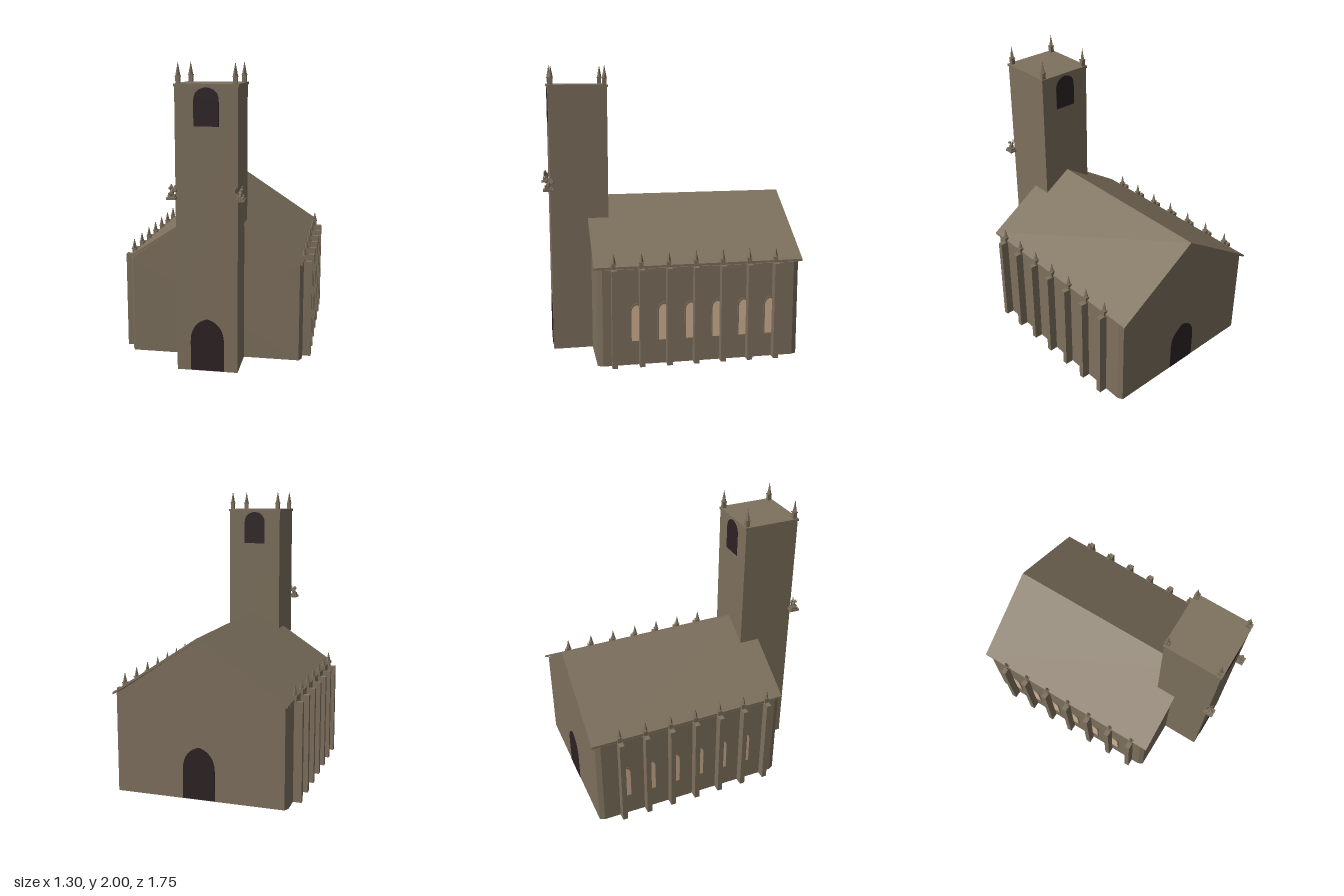
import * as THREE from 'three';

const mat = (name, color) => {
  const m = new THREE.MeshStandardMaterial({ color });
  m.name = name;
  return m;
};

export function createModel() {
  const church = new THREE.Group();
  church.name = 'church';
  const stone = mat('stone', 0x7d705d);
  const dark = mat('darkOpening', 0x2d2224);
  const glass = mat('windowGlow', 0xd2b393);

  const add = (name, geo, material, x = 0, y = 0, z = 0, parent = church) => {
    const m = new THREE.Mesh(geo, material);
    m.name = name;
    m.position.set(x, y, z);
    parent.add(m);
    return m;
  };
  const box = (name, w, h, d, x, y, z, parent) =>
    add(name, new THREE.BoxGeometry(w, h, d), stone, x, y, z, parent);
  const polygon = (pts) => new THREE.Shape(pts.map(([x, y]) => new THREE.Vector2(x, y)));
  const extrude = (shape, depth) =>
    new THREE.ExtrudeGeometry(shape, { depth, bevelEnabled: false, curveSegments: 10 });

  // Arch outline: straight jambs, then a curve up to the apex; pull sets its roundness
  const arch = (half, y0, spring, apex, pull, Type = THREE.Shape) => {
    const s = new Type();
    const k = spring + (apex - spring) * 0.6;
    s.moveTo(-half, y0);
    s.lineTo(half, y0);
    s.lineTo(half, spring);
    s.bezierCurveTo(half, k, half * pull, apex - (apex - spring) * 0.1, 0, apex);
    s.bezierCurveTo(-half * pull, apex - (apex - spring) * 0.1, -half, k, -half, spring);
    return s;
  };

  // Nave walls with chamfered corners, and the gabled core
  const plan = [[0.575, 0.545], [0.593, 0.51], [0.593, -0.815], [0.575, -0.85]];
  const outline = [...plan, ...plan.map(([x, z]) => [-x, z]).reverse()]
    .map(([x, z]) => [x, -z]);
  const walls = extrude(polygon(outline), 0.665);
  walls.rotateX(-Math.PI / 2);
  add('naveWalls', walls, stone);
  const gable = polygon([[-0.575, 0.01], [0.575, 0.01], [0.575, 0.675], [0, 1.06], [-0.575, 0.675]]);
  add('naveGables', extrude(gable, 1.395), stone, 0, 0, -0.85);

  // Pitched roof slab
  const roof = polygon([[0.595, 0.668], [0.595, 0.684], [0, 1.076], [-0.595, 0.684],
    [-0.595, 0.668], [0, 1.056]]);
  add('roof', extrude(roof, 1.44), stone, 0, 0, -0.875);

  // Tower and its cap
  box('tower', 0.4, 1.855, 0.4, 0, 0.9275, 0.62);
  box('towerCap', 0.412, 0.017, 0.412, 0, 1.8585, 0.62);

  // Pinnacle: square base, collar and four-sided spike
  const pinnacle = (x, y, z, h) => {
    const g = new THREE.Group();
    g.name = 'pinnacle';
    g.position.set(x, y, z);
    church.add(g);
    box('pinnacleBase', 0.027, h * 0.34, 0.027, 0, h * 0.17, 0, g);
    box('pinnacleCollar', 0.033, 0.006, 0.033, 0, h * 0.34, 0, g);
    const spike = new THREE.ConeGeometry(0.017, h * 0.66, 4).toNonIndexed();
    spike.computeVertexNormals();
    add('pinnacleSpike', spike, stone, 0, h * 0.67, 0, g);
  };
  for (const x of [-0.18, 0.18])
    for (const z of [0.435, 0.8]) pinnacle(x, 1.867, z, 0.133);

  // Doors and belfry openings
  const door = () => extrude(arch(0.11, 0.003, 0.2, 0.355, 0.55), 0.006);
  const belfry = () => extrude(arch(0.08, 1.605, 1.755, 1.846, 0.75), 0.006);
  add('frontDoor', door(), dark, 0, 0, 0.817);
  add('backDoor', door(), dark, 0, 0, -0.853);
  add('frontBelfryOpening', belfry(), dark, 0, 0, 0.817);
  add('backBelfryOpening', belfry(), dark, 0, 0, 0.417);

  // Buttresses with pinnacles, and the arched windows beside them
  const frame = arch(0.042, 0.165, 0.37, 0.432, 0.6);
  frame.holes.push(arch(0.034, 0.168, 0.365, 0.418, 0.6, THREE.Path));
  const pane = arch(0.036, 0.166, 0.365, 0.42, 0.6);
  for (const side of [-1, 1]) {
    for (let i = 0; i < 7; i++) {
      const z = 0.434 - i * 0.1857;
      box('buttress', 0.08, 0.67, 0.036, side * 0.61, 0.335, z);
      pinnacle(side * 0.595, 0.67, z, 0.11);
      if (i === 6) continue;
      const parts = [['windowPane', pane, glass, 0.004], ['windowFrame', frame, stone, 0.007]];
      for (const [name, shape, material, depth] of parts) {
        const m = add(name, extrude(shape, depth), material, side * 0.592, 0, z - 0.1857 + 0.034);
        m.rotation.y = side * Math.PI / 2;
      }
    }
  }

  // Winged gargoyles perched on the tower's front corners, facing outward
  for (const side of [-1, 1]) {
    const g = new THREE.Group();
    g.name = 'gargoyle';
    g.position.set(side * 0.22, 1.145, 0.835);
    church.add(g);
    box('gargoyleLedge', 0.058, 0.014, 0.07, 0, 0.007, 0, g);
    box('gargoylePlinth', 0.046, 0.014, 0.05, 0, 0.02, 0, g);
    const figure = new THREE.Group();
    figure.name = 'gargoyleFigure';
    figure.rotation.y = side * Math.PI / 4;
    g.add(figure);
    const ball = (name, x, y, z, sx, sy, sz) =>
      add(name, new THREE.SphereGeometry(1, 8, 6), stone, x, y, z, figure).scale.set(sx, sy, sz);
    ball('gargoyleBody', 0, 0.045, -0.002, 0.014, 0.022, 0.015);
    ball('gargoyleHead', 0, 0.072, 0.012, 0.009, 0.01, 0.012);
    for (const s of [-1, 1]) {
      ball('gargoyleLeg', s * 0.013, 0.034, 0.008, 0.007, 0.009, 0.014);
      add('gargoyleHorn', new THREE.ConeGeometry(0.003, 0.014, 4), stone, s * 0.006, 0.084, 0.008, figure);
      // Bat-like wing with a scalloped lower edge
      const tips = [[0, 0.04], [0.014, 0.055], [0.022, 0.046], [0.03, 0.058], [0.038, 0.048],
        [0.037, 0.072], [0.024, 0.093], [0.01, 0.08], [0, 0.062]];
      const wing = polygon(tips.map(([x, y]) => [s * x, y]));
      add('gargoyleWing', extrude(wing, 0.005), stone, 0, 0, -0.014, figure);
    }
  }
  return church;
}
